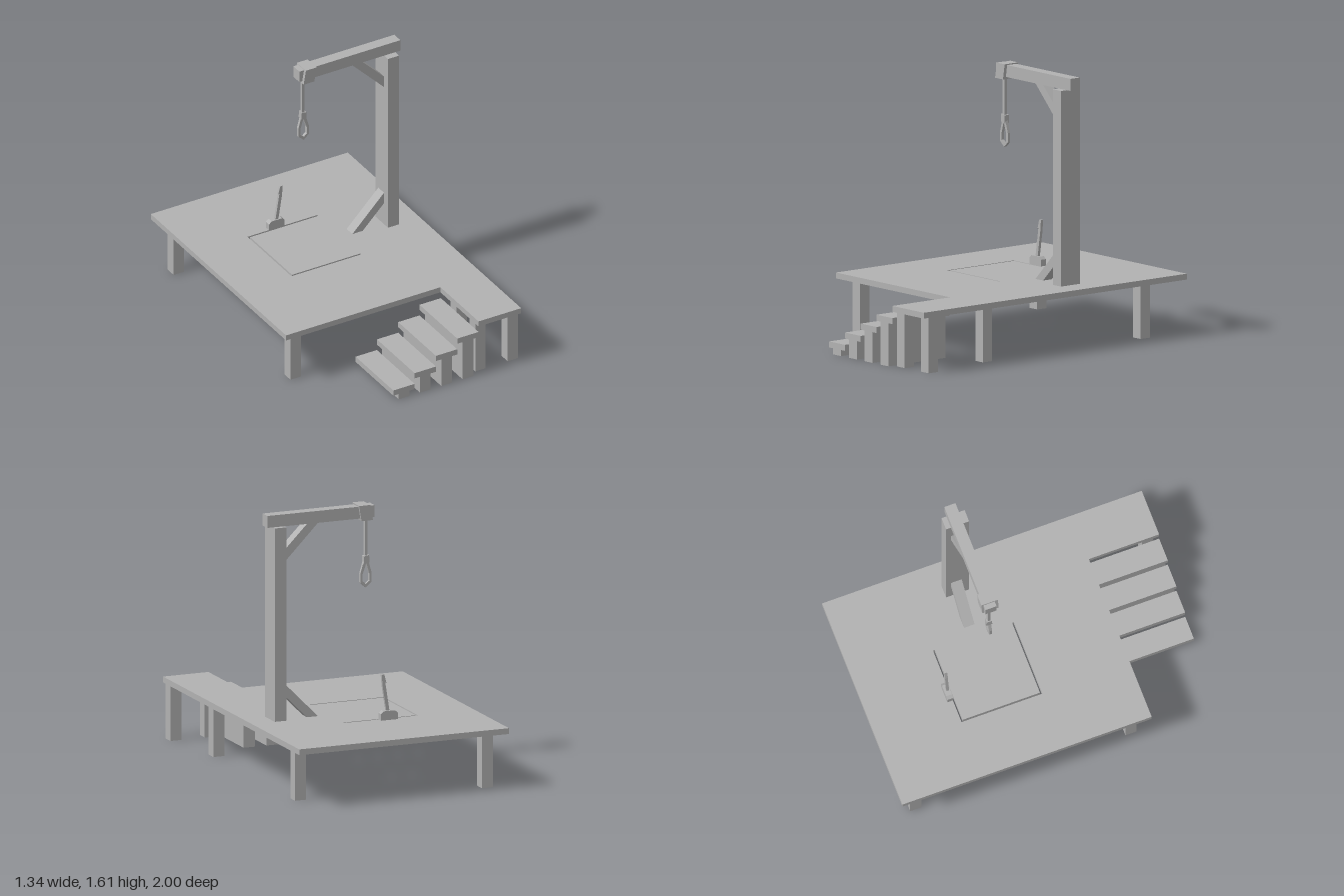
import * as THREE from 'three';

export function createModel() {
  const group = new THREE.Group();
  group.name = 'gallows';
  const wood = new THREE.MeshStandardMaterial({ color: 0xb2b2b2 });
  wood.name = 'plainGrey';

  const add = (name, geometry) => {
    const mesh = new THREE.Mesh(geometry, wood);
    mesh.name = name;
    group.add(mesh);
    return mesh;
  };
  // Box from its minimum and maximum on each axis
  const box = (name, x0, x1, y0, y1, z0, z1) =>
    add(name, new THREE.BoxGeometry(x1 - x0, y1 - y0, z1 - z0)
      .translate((x0 + x1) / 2, (y0 + y1) / 2, (z0 + z1) / 2));
  const toPoints = (list) => list.map(([x, y]) => new THREE.Vector2(x, y));
  const extrude = (outline, depth, hole) => {
    const shape = new THREE.Shape(toPoints(outline));
    if (hole) shape.holes.push(new THREE.Path(toPoints(hole)));
    return new THREE.ExtrudeGeometry(shape, { depth, bevelEnabled: false });
  };
  // Front profile (x, y) given thickness from z0 to z1
  const slab = (name, outline, z0, z1, hole) =>
    add(name, extrude(outline, z1 - z0, hole).translate(0, 0, z0));

  // Platform with a notch for the stairs and the trapdoor gap cut through
  const deck = [[-0.67, -1], [0.67, -1], [0.67, 1], [0.38, 1], [0.38, 0.56], [-0.67, 0.56]];
  const gap = [[0.165, -0.495], [-0.31, -0.495], [-0.31, 0.011], [0.165, 0.011],
    [0.165, 0], [-0.299, 0], [-0.299, -0.484], [0.165, -0.484]];
  add('platform', extrude(deck, 0.035, gap).rotateX(Math.PI / 2).translate(0, 0.365, 0));

  // Legs
  for (const [x, z] of [[-0.565, -0.89], [0.565, -0.742], [-0.565, 0.457],
    [0.565, 0.457], [0.635, 0.928], [0.415, 0.928]]) {
    box('leg', x - 0.035, x + 0.035, 0, 0.33, z - 0.035, z + 0.035);
  }

  // Stairs
  for (let i = 0; i < 4; i++) {
    const x = -0.2 + i * 0.145, top = 0.072 + i * 0.0735;
    box('stairTread', x, x + 0.145, top - 0.036, top, 0.565, 1);
    box('stairSupport', x + 0.036, x + 0.109, 0, top - 0.036, 0.565, 1);
  }

  // Post, beam and diagonal braces
  box('post', 0.45, 0.525, 0.365, 1.53, -0.307, -0.163);
  box('beam', -0.127, 0.56, 1.53, 1.602, -0.277, -0.207);
  slab('upperBrace', [[0.235, 1.53], [0.45, 1.312], [0.45, 1.385], [0.305, 1.53]], -0.275, -0.209);
  slab('lowerBrace', [[0.235, 0.365], [0.305, 0.365], [0.45, 0.51], [0.45, 0.582]], -0.275, -0.209);

  // Rope: wrap round the beam, hanging length, knot and loop
  slab('ropeWrap', [[-0.11, 1.517], [-0.037, 1.517], [-0.022, 1.609], [-0.094, 1.609]], -0.29, -0.187);
  box('rope', -0.094, -0.076, 1.29, 1.52, -0.25, -0.232);
  slab('knot', [[-0.103, 1.255], [-0.068, 1.245], [-0.068, 1.294], [-0.1, 1.3]], -0.257, -0.225);
  slab('ropeLoop', [[-0.1, 1.26], [-0.119, 1.19], [-0.119, 1.135], [-0.082, 1.104],
    [-0.047, 1.135], [-0.047, 1.19], [-0.068, 1.26]], -0.25, -0.232,
  [[-0.085, 1.252], [-0.104, 1.187], [-0.104, 1.143], [-0.082, 1.125],
    [-0.062, 1.143], [-0.062, 1.187]]);

  // Lever with its housing, and the latch below the platform
  slab('leverBase', [[-0.165, 0.365], [-0.058, 0.365], [-0.058, 0.404], [-0.075, 0.42],
    [-0.146, 0.42], [-0.165, 0.404]], -0.53, -0.493);
  slab('leverArm', [[-0.118, 0.41], [-0.098, 0.41], [-0.073, 0.57], [-0.067, 0.638],
    [-0.084, 0.638], [-0.098, 0.585], [-0.09, 0.59]], -0.517, -0.5);
  box('latch', -0.13, -0.095, 0.293, 0.33, -0.477, -0.415);

  return group;
}
